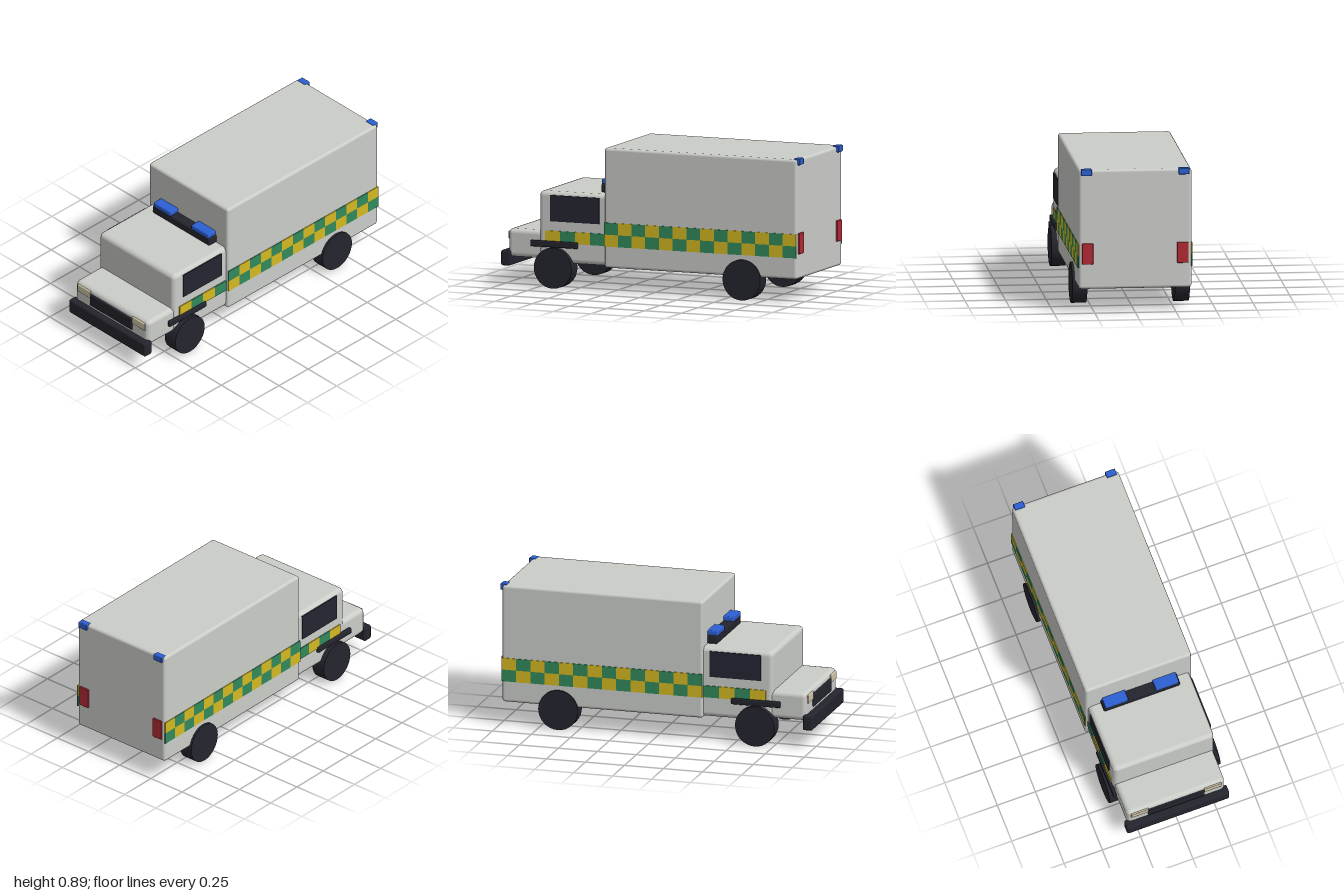
import * as THREE from 'three';
import { RoundedBoxGeometry } from 'three/addons/geometries/RoundedBoxGeometry.js';

const mat = (name, color) => {
  const m = new THREE.MeshStandardMaterial({ color });
  m.name = name;
  return m;
};

export function createModel() {
  const group = new THREE.Group();
  group.name = 'ambulance';

  const paint = mat('grey paint', 0xcbcdc9);
  const black = mat('black rubber', 0x24242e);
  const glass = mat('dark glass', 0x242531);
  const blue = mat('blue lamp', 0x2c5fd2);
  const red = mat('red lamp', 0xb02a35);
  const cream = mat('cream headlight', 0xd0c6a8);
  const yellow = mat('yellow check', 0xd4b822);
  const green = mat('green check', 0x338a5c);

  // Box given by its limits on each axis, with an optional edge radius
  const box = (name, material, [x0, x1], [y0, y1], [z0, z1], radius = 0) => {
    const size = [x1 - x0, y1 - y0, z1 - z0];
    const geo = radius
      ? new RoundedBoxGeometry(...size, 2, radius)
      : new THREE.BoxGeometry(...size);
    const mesh = new THREE.Mesh(geo, material);
    mesh.position.set((x0 + x1) / 2, (y0 + y1) / 2, (z0 + z1) / 2);
    mesh.name = name;
    group.add(mesh);
    return mesh;
  };
  // The same box on both sides of the vehicle
  const pair = (name, material, [x0, x1], y, z, radius) => {
    box(name + 'Left', material, [x0, x1], y, z, radius);
    box(name + 'Right', material, [-x1, -x0], y, z, radius);
  };

  // Bodywork
  box('rearBody', paint, [-0.348, 0.348], [0.147, 0.89], [-0.985, 0.302], 0.018);
  box('cab', paint, [-0.33, 0.33], [0.155, 0.597], [0.27, 0.747], 0.03);
  box('hood', paint, [-0.32, 0.32], [0.175, 0.35], [0.7, 0.958], 0.03);

  // Nose
  box('bumper', black, [-0.335, 0.335], [0.12, 0.215], [0.938, 1], 0.012);
  box('grille', black, [-0.184, 0.184], [0.233, 0.316], [0.94, 0.968], 0.006);
  pair('headlight', cream, [0.182, 0.295], [0.282, 0.333], [0.94, 0.965], 0.005);

  // Side windows and wheel guards
  pair('sideWindow', glass, [0.329, 0.337], [0.413, 0.575], [0.342, 0.67]);
  pair('wheelGuard', black, [0.325, 0.348], [0.252, 0.291], [0.482, 0.798], 0.008);

  // Checked bands: two rows on the body, one row on the cab
  const bodyStep = 1.285 / 14;
  for (let i = 0; i < 14; i++) {
    const z = [0.3 - (i + 1) * bodyStep, 0.3 - i * bodyStep];
    for (let row = 0; row < 2; row++) {
      const y = 0.28 + row * 0.074;
      const colour = (i + row) % 2 ? green : yellow;
      pair('bodyCheck', colour, [0.346, 0.353], [y, y + 0.074], z);
    }
  }
  for (let i = 0; i < 4; i++) {
    const z = [0.302 + i * 0.1, 0.302 + (i + 1) * 0.1];
    pair('cabCheck', i % 2 ? yellow : green, [0.328, 0.336], [0.28, 0.354], z);
  }

  // Roof light bar
  box('lightBar', black, [-0.249, 0.249], [0.598, 0.652], [0.295, 0.366], 0.01);
  pair('roofBeacon', blue, [0.09, 0.241], [0.645, 0.68], [0.295, 0.366], 0.008);

  // Rear lamps
  pair('rearBeacon', blue, [0.268, 0.333], [0.855, 0.895], [-1, -0.958], 0.005);
  pair('tailLight', red, [0.258, 0.328], [0.303, 0.432], [-0.996, -0.975], 0.004);

  // Wheels
  const wheelGeo = new THREE.CylinderGeometry(0.126, 0.126, 0.092, 32);
  wheelGeo.rotateZ(Math.PI / 2);
  for (const [end, z] of [['front', 0.64], ['rear', -0.622]]) {
    for (const [side, s] of [['Left', 1], ['Right', -1]]) {
      const wheel = new THREE.Mesh(wheelGeo, black);
      wheel.name = `${end}Wheel${side}`;
      wheel.position.set(s * 0.316, 0.126, z);
      group.add(wheel);
    }
  }

  return group;
}
